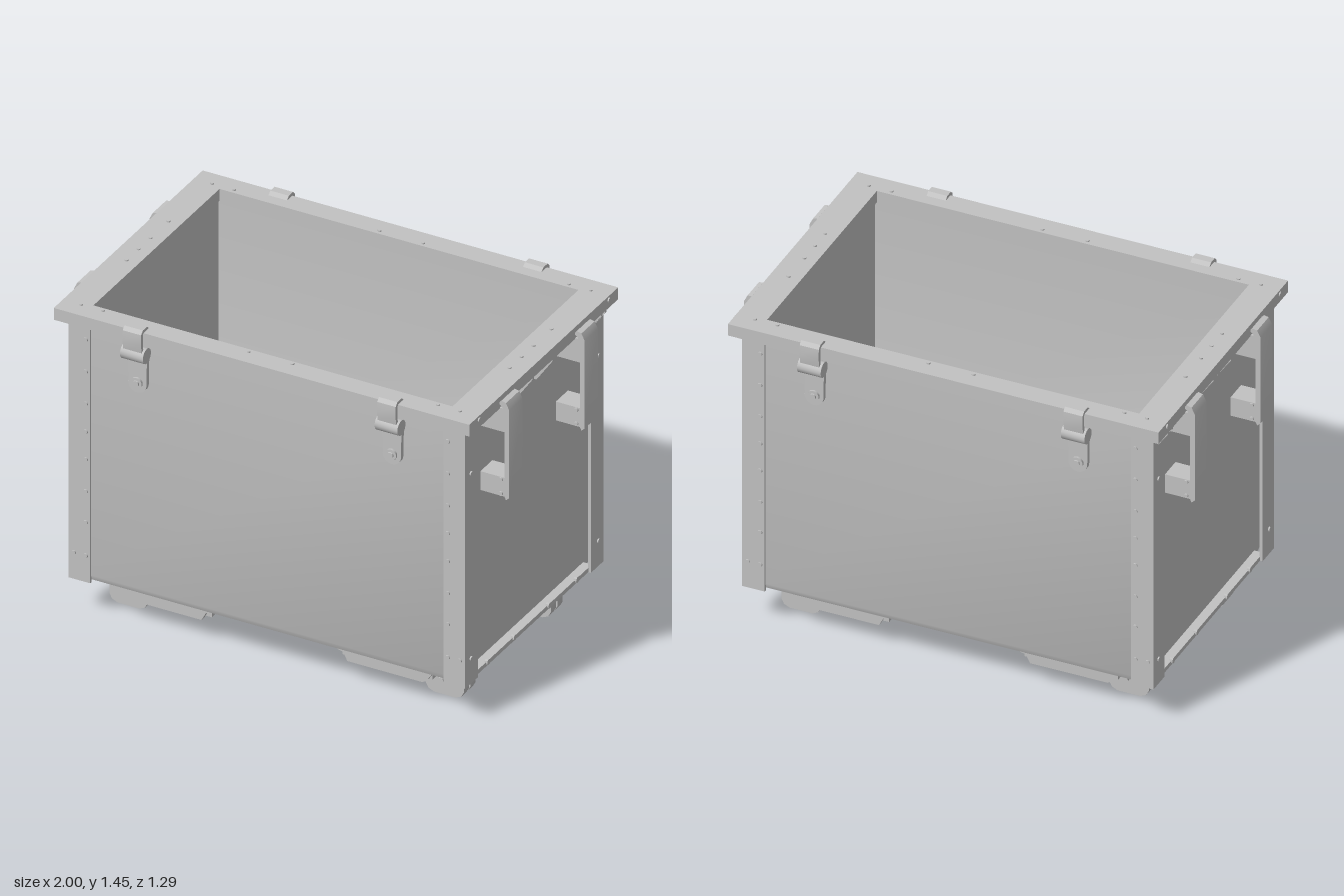
import * as THREE from 'three';
import { toCreasedNormals } from 'three/addons/utils/BufferGeometryUtils.js';

const steel = new THREE.MeshStandardMaterial({ color: 0xc2c2c2, side: THREE.DoubleSide });
steel.name = 'grey steel';

function add(parent, name, geo, x = 0, y = 0, z = 0) {
  const m = new THREE.Mesh(geo, steel);
  m.name = name;
  m.position.set(x, y, z);
  parent.add(m);
  return m;
}

// Box given by its min and max along each axis (either order)
function box(parent, name, x0, x1, y0, y1, z0, z1) {
  const g = new THREE.BoxGeometry(Math.abs(x1 - x0), Math.abs(y1 - y0), Math.abs(z1 - z0));
  return add(parent, name, g, (x0 + x1) / 2, (y0 + y1) / 2, (z0 + z1) / 2);
}

// Extrude a shape in xy, centred along z
function prism(shape, depth) {
  const s = Array.isArray(shape) ? new THREE.Shape(shape.map(p => new THREE.Vector2(...p))) : shape;
  const g = new THREE.ExtrudeGeometry(s, { depth, bevelEnabled: false, curveSegments: 8 });
  g.translate(0, 0, -depth / 2);
  return toCreasedNormals(g, 0.6);
}

// Round bolt head whose axis lies along x, y or z
function bolt(parent, axis, x, y, z, r = 0.011, h = 0.014) {
  const g = new THREE.CylinderGeometry(r, r, h, 10);
  if (axis === 'x') g.rotateZ(Math.PI / 2);
  if (axis === 'z') g.rotateX(Math.PI / 2);
  add(parent, 'bolt', toCreasedNormals(g, 0.7), x, y, z);
}

// Front wall, floor and back wall bent from one sheet
function trough() {
  const s = new THREE.Shape();
  const line = (w, b, r) => [
    [-w, 1.40], [-w, b + r], [-w + r * 0.29, b + r * 0.29], [-w + r, b],
    [w - r, b], [w - r * 0.29, b + r * 0.29], [w, b + r], [w, 1.40]];
  const pts = [...line(0.57, 0.165, 0.035), ...line(0.556, 0.178, 0.022).reverse()];
  pts.forEach(([x, y], i) => (i ? s.lineTo(x, y) : s.moveTo(x, y)));
  s.closePath();
  return prism(s, 1.72).rotateY(Math.PI / 2);
}

// Rectangular frame around the opening
function rim() {
  const rect = (P, w, d) => {
    const p = new P();
    p.moveTo(-w, -d); p.lineTo(w, -d); p.lineTo(w, d); p.lineTo(-w, d); p.closePath();
    return p;
  };
  const s = rect(THREE.Shape, 0.955, 0.62);
  s.holes.push(rect(THREE.Path, 0.825, 0.525));
  return prism(s, 0.055).rotateX(-Math.PI / 2);
}

// Clamp hooked over the rim, facing +z
function latch() {
  const g = new THREE.Group();
  g.name = 'latch';
  const w = 0.085;
  const hook = [[0.575, 1.436], [0.59, 1.45], [0.625, 1.45], [0.64, 1.435], [0.642, 1.39], [0.632, 1.33],
    [0.618, 1.33], [0.626, 1.39], [0.625, 1.43], [0.615, 1.436]];
  add(g, 'hook strap', prism(hook.map(([z, y]) => [-z, y]), w).rotateY(Math.PI / 2));
  const roll = new THREE.CylinderGeometry(0.034, 0.034, w + 0.02, 16).rotateZ(Math.PI / 2);
  add(g, 'hinge roll', toCreasedNormals(roll, 0.7), 0, 1.325, 0.61);
  // Tongue with a rounded lower end
  const t = new THREE.Shape();
  t.moveTo(-0.045, 1.33);
  t.lineTo(-0.04, 1.175);
  t.absarc(0, 1.175, 0.042, Math.PI, 2 * Math.PI, false);
  t.lineTo(0.045, 1.33);
  add(g, 'tongue', prism(t, 0.02), 0, 0, 0.585);
  bolt(g, 'z', 0, 1.18, 0.595, 0.026, 0.02);
  bolt(g, 'z', 0, 1.18, 0.603, 0.014, 0.018);
  return g;
}

// Strap handle on the +x end
function handle() {
  const g = new THREE.Group();
  g.name = 'handle';
  const strap = [[0.95, 1.405], [0.965, 1.42], [0.985, 1.415], [1.0, 1.385], [1.0, 0.975], [0.985, 0.96],
    [0.978, 0.975], [0.978, 1.375], [0.965, 1.395]];
  add(g, 'handle strap', prism(strap, 0.11));
  box(g, 'lower bracket', 0.865, 0.985, 0.972, 1.06, -0.05, 0.05);
  box(g, 'upper plate', 0.86, 0.98, 1.27, 1.29, -0.045, 0.045);
  for (const z of [-0.047, 0.047]) {
    add(g, 'upper cheek', prism([[0.86, 1.38], [0.86, 1.3], [0.978, 1.28], [0.978, 1.385]], 0.01), 0, 0, z);
    for (const y of [0.985, 1.05]) bolt(g, 'z', 0.96, y, z * 1.1, 0.009, 0.012);
  }
  return g;
}

// Twin-plate foot at a corner
function foot() {
  const g = new THREE.Group();
  g.name = 'foot';
  const plate = [[-0.088, 0.182], [-0.088, 0.035], [-0.076, 0.012], [-0.05, 0],
    [0.05, 0], [0.076, 0.012], [0.088, 0.035], [0.088, 0.182]];
  for (const z of [-0.027, 0.027]) {
    add(g, 'foot plate', prism(plate, 0.044), 0, 0, z);
    bolt(g, 'z', 0, 0.085, z * 2, 0.024, 0.03);
    bolt(g, 'z', 0.0, 0.085, z * 2.6, 0.012, 0.03);
    bolt(g, 'z', 0.0, 0.135, z * 1.9, 0.012, 0.02);
  }
  return g;
}

export function createModel() {
  const model = new THREE.Group();
  model.name = 'wheelless container';
  add(model, 'bent body sheet', trough());
  add(model, 'rim', rim(), 0, 1.4075, 0);

  for (const sx of [-1, 1]) {
    // Recessed end wall and bottom rail
    box(model, 'end wall', sx * 0.846, sx * 0.86, 0.17, 1.39, -0.555, 0.555);
    box(model, 'bottom rail', sx * 0.86, sx * 0.9, 0.165, 0.185, -0.5, 0.5);
    for (const z of [-0.37, -0.14, 0.15, 0.37]) bolt(model, 'x', sx * 0.9, 0.183, z, 0.013);

    // Gussets under the rim
    const gusset = [[0, 1.385], [0, 1.265], [0.02, 1.265], [0.093, 1.37], [0.093, 1.385]];
    for (const z of [-0.52, -0.485, -0.082, 0.084]) {
      const m = add(model, 'gusset', prism(gusset, 0.014), sx * 0.86, 0, z);
      if (sx < 0) m.rotation.y = Math.PI;
    }
    // Rim bolts on the ends
    for (const z of [-0.2, -0.05, 0.05, 0.15]) bolt(model, 'y', sx * 0.88, 1.436, z, 0.008, 0.01);

    for (const sz of [-1, 1]) {
      // Angle posts
      const post = new THREE.Group();
      post.name = 'corner post';
      model.add(post);
      box(post, 'post front leg', sx * 0.812, sx * 0.912, 0.165, 1.385, sz * 0.563, sz * 0.576);
      box(post, 'post side leg', sx * 0.898, sx * 0.912, 0.165, 1.385, sz * 0.47, sz * 0.563);
      for (const y of [0.29, 0.445, 0.59, 0.74, 0.87, 1.0, 1.15, 1.3])
        bolt(post, 'z', sx * 0.832, y, sz * 0.576, 0.01, 0.012);
      bolt(post, 'z', sx * 0.887, 0.29, sz * 0.576, 0.01, 0.012);
      for (const y of [0.285, 1.15]) bolt(post, 'x', sx * 0.912, y, sz * 0.53, 0.01, 0.012);

      // Corner foot with a runner beside it
      const f = foot();
      f.position.set(sx * 0.727, 0, sz * 0.362);
      model.add(f);
      const runner = [[0.285, 0.165], [0.29, 0.14], [0.315, 0.135], [0.335, 0.097], [0.68, 0.097], [0.7, 0.11],
        [0.72, 0.14], [0.72, 0.165]].map(([x, y]) => [sx * x, y]);
      add(model, 'runner web', prism(runner, 0.025), 0, 0, sz * 0.5);
      box(model, 'runner flange', sx * 0.3, sx * 0.715, 0.108, 0.145, sz * 0.44, sz * 0.49);

      const h = handle();
      h.position.z = sz * 0.314;
      if (sx < 0) h.rotation.y = Math.PI;
      model.add(h);

      const l = latch();
      l.position.x = sx * 0.585;
      if (sz < 0) l.rotation.y = Math.PI;
      model.add(l);

      // Rim bolts on the long sides
      for (const x of [0.1, 0.77, 0.87]) bolt(model, 'y', sx * x, 1.436, sz * 0.545, 0.008, 0.01);
      bolt(model, 'x', sx * 0.955, 1.418, sz * 0.54, 0.01, 0.012);
    }
  }
  return model;
}
